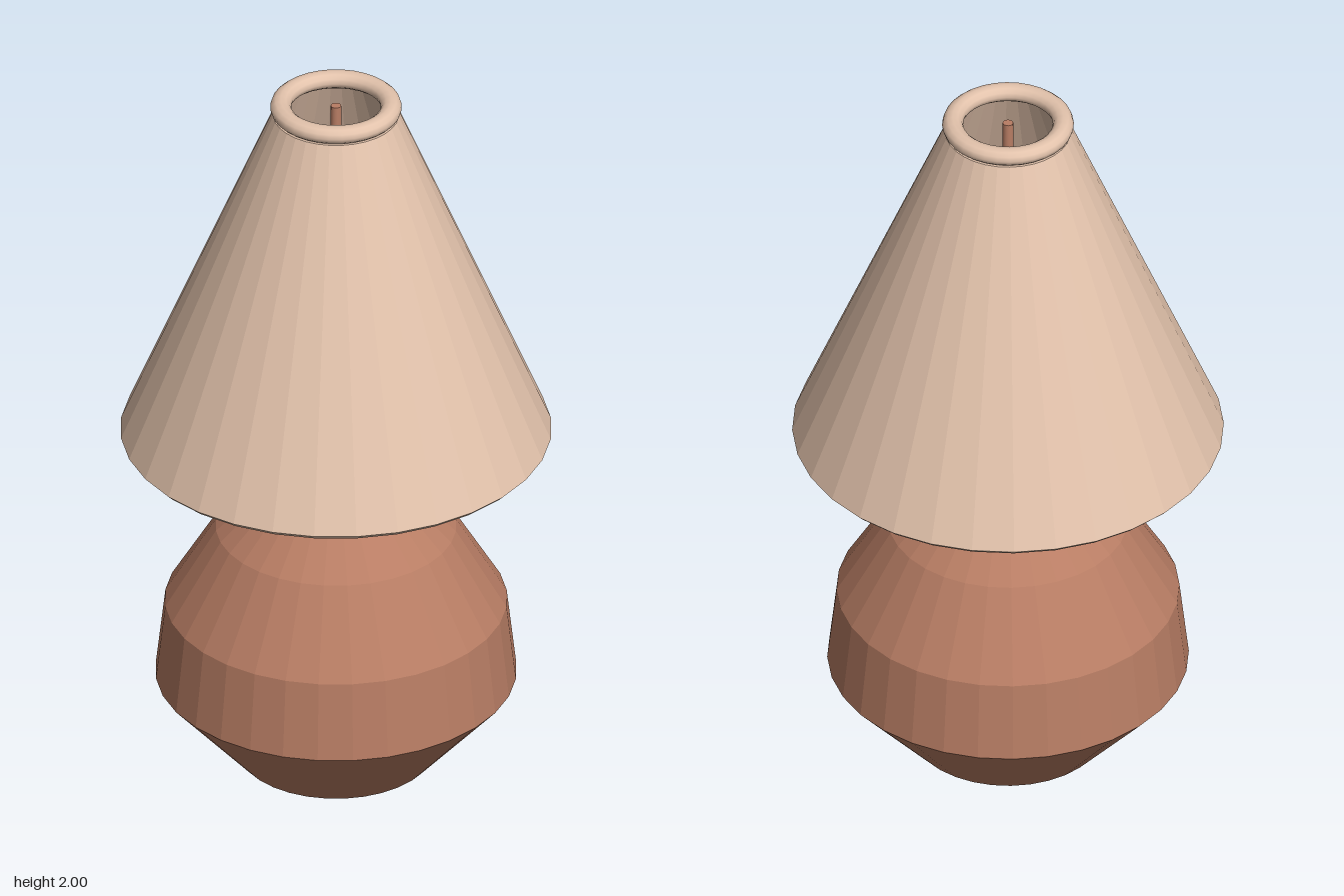
import * as THREE from 'three';

const SIDES = 32;

// Turns a list of [radius, height] points, bottom to top, into a faceted body
function turned(name, profile, material) {
  const points = profile.map(([r, y]) => new THREE.Vector2(r, y));
  const mesh = new THREE.Mesh(new THREE.LatheGeometry(points, SIDES), material);
  mesh.name = name;
  return mesh;
}

export function createModel() {
  const lamp = new THREE.Group();
  lamp.name = 'tableLamp';

  const clay = new THREE.MeshStandardMaterial({ color: 0xb87d64, flatShading: true });
  const metal = new THREE.MeshStandardMaterial({ color: 0xb87d64 });
  const fabric = new THREE.MeshStandardMaterial({ color: 0xe3c3ac, flatShading: true, side: THREE.DoubleSide });
  const trim = new THREE.MeshStandardMaterial({ color: 0xe3c3ac });

  // Pot-shaped base, closed at the foot and the neck
  lamp.add(turned('base', [
    [0, 0], [0.26, 0], [0.48, 0.245], [0.455, 0.465],
    [0.32, 0.69], [0.12, 0.88], [0.085, 0.96], [0, 0.96],
  ], clay));

  // Slim stem flaring into the bulb socket
  lamp.add(turned('stemAndSocket', [
    [0.038, 0.95], [0.035, 1.13], [0.045, 1.17], [0.07, 1.21],
    [0.072, 1.3], [0.085, 1.31], [0.085, 1.34], [0.07, 1.35], [0, 1.35],
  ], metal));

  // Tapered bulb holder below the rod
  lamp.add(turned('bulb', [
    [0.06, 1.34], [0.07, 1.4], [0.066, 1.45], [0.05, 1.5], [0.03, 1.54], [0.018, 1.57],
  ], metal));

  // Rod running up to the shade opening
  const rod = new THREE.Mesh(new THREE.CylinderGeometry(0.014, 0.018, 0.42, 16), metal);
  rod.name = 'rod';
  rod.position.y = 1.77;
  lamp.add(rod);

  // Thick-walled conical shade with a bevelled lower rim
  lamp.add(turned('shade', [
    [0.145, 1.955], [0.542, 0.975], [0.56, 0.975], [0.573, 0.988], [0.168, 1.955], [0.145, 1.955],
  ], fabric));

  // Rounded collar around the top opening
  const collar = new THREE.Mesh(new THREE.TorusGeometry(0.147, 0.028, 12, SIDES), trim);
  collar.name = 'shadeCollar';
  collar.rotation.x = Math.PI / 2;
  collar.scale.z = 0.86;
  collar.position.y = 1.976;
  lamp.add(collar);

  return lamp;
}
